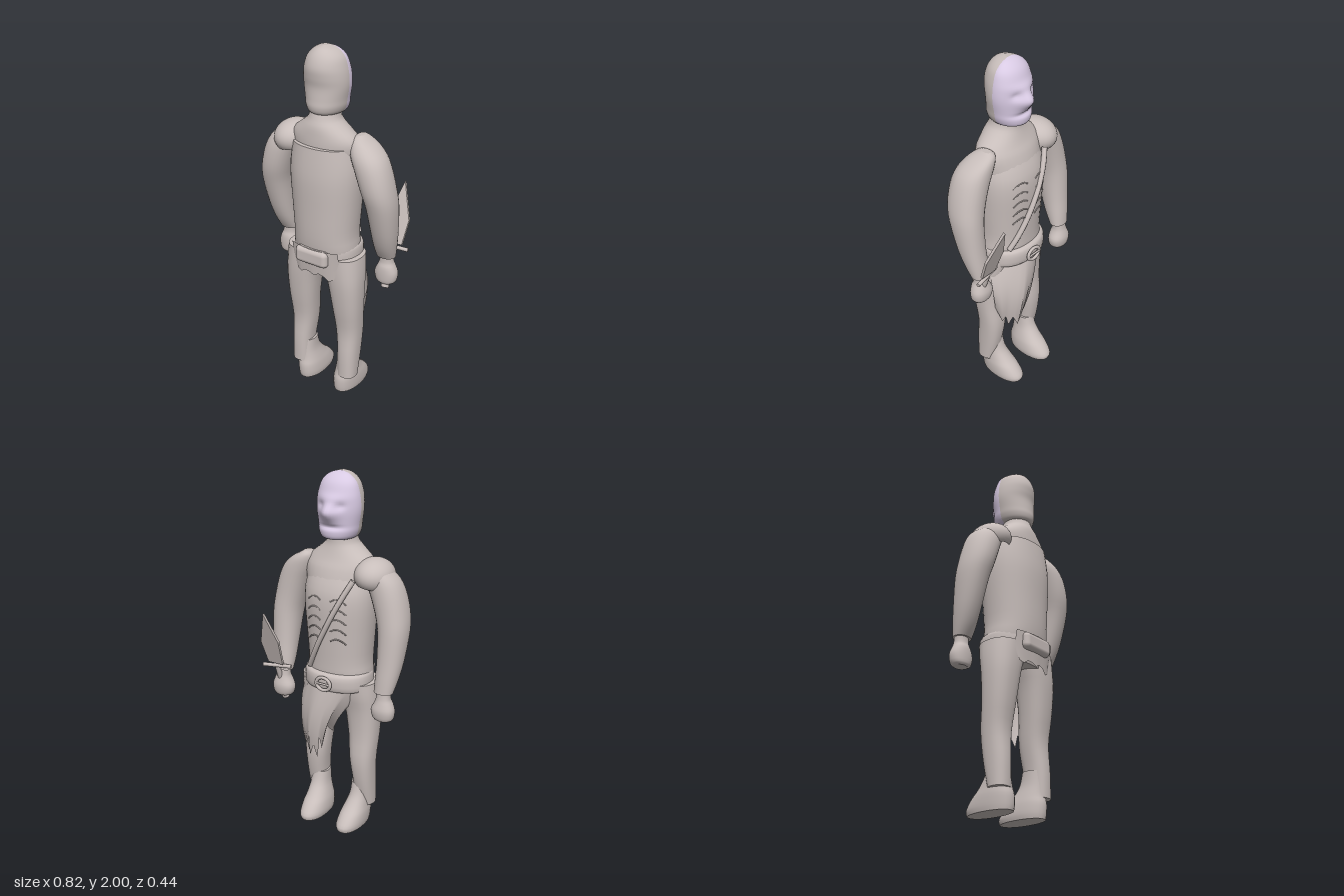
import * as THREE from 'three';
import { RoundedBoxGeometry } from 'three/addons/geometries/RoundedBoxGeometry.js';

const grey = new THREE.MeshStandardMaterial({ color: 0xc8bebb, side: THREE.DoubleSide });
grey.name = 'warm grey';
const lilac = new THREE.MeshStandardMaterial({ color: 0xd8cae3 });
lilac.name = 'pale lilac';

// Smooth in-between sections
function refine(rows, n) {
  const out = [];
  const at = (i) => rows[Math.max(0, Math.min(rows.length - 1, i))];
  for (let i = 0; i < rows.length - 1; i++) {
    for (let k = 0; k < n; k++) {
      const t = k / n;
      out.push(at(i).map((b, q) => {
        const a = at(i - 1)[q], c = at(i + 1)[q], d = at(i + 2)[q];
        return b + 0.5 * t * (c - a + t * (2 * a - 5 * b + 4 * c - d + t * (3 * (b - c) + d - a)));
      }));
    }
  }
  out.push(rows[rows.length - 1]);
  return out;
}

// Loft of rounded sections, bottom to top: [y, xMin, xMax, zMin, zMax]
function loft(rows, { n = 3, side = 1, power = 2.2, seg = 28, zMid = null, shape = null, split = false } = {}) {
  const rings = refine(rows, n), pos = [], front = [], back = [];
  const soft = (v) => Math.sign(v) * Math.pow(Math.abs(v), 2 / power);
  for (const [y, x0, x1, z0, z1] of rings) {
    const cz = zMid ?? (z0 + z1) / 2;
    for (let j = 0; j < seg; j++) {
      const a = (j / seg) * Math.PI * 2, s = soft(Math.sin(a));
      const p = new THREE.Vector3(side * (x0 + x1) / 2 + (x1 - x0) / 2 * soft(Math.cos(a)), y,
        cz + s * (s > 0 ? z1 - cz : cz - z0));
      if (shape) shape(p);
      pos.push(p.x, p.y, p.z);
    }
  }
  for (let i = 0; i < rings.length - 1; i++) {
    for (let j = 0; j < seg; j++) {
      const a = i * seg + j, b = i * seg + (j + 1) % seg;
      (split && j >= seg / 2 ? front : back).push(a, a + seg, b, b, a + seg, b + seg);
    }
  }
  // flat end caps
  for (const [i, up] of [[0, false], [rings.length - 1, true]]) {
    const [y, x0, x1, z0, z1] = rings[i], base = pos.length / 3;
    const ring = pos.slice(i * seg * 3, (i + 1) * seg * 3);
    pos.push(...ring, side * (x0 + x1) / 2, y, zMid ?? (z0 + z1) / 2);
    for (let j = 0; j < seg; j++) {
      const a = base + j, b = base + (j + 1) % seg;
      const list = split && j >= seg / 2 ? front : back;
      if (up) list.push(a, base + seg, b); else list.push(a, b, base + seg);
    }
  }
  const g = new THREE.BufferGeometry();
  g.setAttribute('position', new THREE.Float32BufferAttribute(pos, 3));
  g.setIndex([...back, ...front]);
  if (split) {
    g.addGroup(0, back.length, 0);
    g.addGroup(back.length, front.length, 1);
  }
  g.computeVertexNormals();
  return g;
}

// Sheet of cloth; fn(u, v) gives the point, v running downward
function cloth(fn, cols, rows) {
  const g = new THREE.PlaneGeometry(1, 1, cols, rows), p = g.attributes.position;
  for (let i = 0; i < p.count; i++) p.setXYZ(i, ...fn(p.getX(i) + 0.5, 0.5 - p.getY(i)));
  g.computeVertexNormals();
  return g;
}

// Depth of the chest surface
function chestZ(x, y) {
  const zf = -0.116 + 0.25 * (y - 1.27) ** 2;
  return 0.04 - (0.04 - zf) * Math.pow(1 - Math.min(1, Math.abs(x / 0.2)) ** 2.2, 1 / 2.2);
}

export function createModel() {
  const model = new THREE.Group();
  const add = (name, geometry, material = grey, parent = model) => {
    const m = new THREE.Mesh(geometry, material);
    m.name = name;
    parent.add(m);
    return m;
  };

  // Head with pale face: broad pointed nose, eye sockets, brow and mouth pushed in and out
  const bump = (p, x, y, w, h) => Math.exp(-(((p.x - x) / w) ** 2) - ((p.y - y) / h) ** 2);
  add('head', loft([
    [1.655, -0.055, 0.055, -0.03, 0.11], [1.668, -0.09, 0.09, -0.066, 0.148], [1.7, -0.107, 0.107, -0.075, 0.16],
    [1.74, -0.114, 0.114, -0.068, 0.157], [1.8, -0.124, 0.124, -0.068, 0.153], [1.85, -0.124, 0.124, -0.066, 0.16],
    [1.9, -0.116, 0.116, -0.056, 0.162], [1.95, -0.098, 0.098, -0.035, 0.145], [1.985, -0.06, 0.06, 0.0, 0.115],
    [2.0, -0.015, 0.015, 0.035, 0.075],
  ], {
    n: 5, seg: 56, zMid: 0.035, power: 2.05, split: true, shape: (p) => {
      if (p.z > 0.01) return;
      p.z += -0.046 * bump(p, 0, 1.805, 0.05, 0.045) - 0.008 * bump(p, 0, 1.875, 0.08, 0.02)
        + 0.014 * bump(p, 0.052, 1.835, 0.025, 0.018) + 0.014 * bump(p, -0.052, 1.835, 0.025, 0.018)
        + 0.014 * bump(p, 0, 1.728, 0.06, 0.01);
    },
  }), [grey, lilac]);

  // Neck and collar, torso
  add('neckAndCollar', loft([
    [1.42, -0.19, 0.19, -0.095, 0.17], [1.5, -0.2, 0.205, -0.073, 0.172], [1.55, -0.185, 0.185, -0.05, 0.17],
    [1.6, -0.125, 0.125, -0.032, 0.165], [1.64, -0.085, 0.085, -0.022, 0.15], [1.7, -0.075, 0.075, -0.02, 0.13],
  ], { power: 2 }));
  add('torso', loft([
    [0.78, -0.15, 0.15, -0.06, 0.16], [0.9, -0.185, 0.185, -0.095, 0.188], [1.0, -0.18, 0.18, -0.1, 0.2],
    [1.15, -0.19, 0.19, -0.108, 0.205], [1.3, -0.2, 0.2, -0.116, 0.21], [1.4, -0.196, 0.196, -0.106, 0.205],
    [1.5, -0.175, 0.175, -0.067, 0.195],
  ], { seg: 36 }));

  // Paired limbs
  for (const side of [1, -1]) {
    const who = side > 0 ? 'left' : 'right';
    add(who + 'Arm', loft([
      [0.88, 0.265, 0.37, -0.085, 0.0], [0.95, 0.262, 0.385, -0.08, 0.04], [1.05, 0.26, 0.4, -0.07, 0.08],
      [1.2, 0.25, 0.41, -0.06, 0.125], [1.3, 0.225, 0.4, -0.053, 0.148], [1.4, 0.19, 0.375, -0.05, 0.15],
      [1.47, 0.16, 0.342, -0.048, 0.138], [1.52, 0.15, 0.288, -0.043, 0.11], [1.55, 0.155, 0.235, -0.03, 0.08],
      [1.565, 0.175, 0.21, -0.01, 0.05],
    ], { side }));
    add(who + 'Hand', loft([
      [0.72, 0.285, 0.36, -0.075, -0.01], [0.735, 0.262, 0.378, -0.09, 0.0], [0.78, 0.252, 0.385, -0.097, 0.003],
      [0.82, 0.27, 0.372, -0.088, 0.0], [0.85, 0.28, 0.36, -0.08, -0.01], [0.9, 0.28, 0.36, -0.075, -0.01],
    ], { side }));
    add(who + 'TrouserLeg', loft([
      [0.11, 0.1, 0.208, 0.02, 0.13], [0.25, 0.096, 0.212, -0.012, 0.13], [0.4, 0.078, 0.218, -0.03, 0.122],
      [0.55, 0.062, 0.228, -0.022, 0.143], [0.7, 0.04, 0.233, -0.03, 0.16], [0.8, 0.012, 0.23, -0.05, 0.165],
      [0.88, 0.003, 0.222, -0.06, 0.165],
    ], { side, power: 2.4 }));
    add(who + 'Boot', loft([
      [0, 0.055, 0.19, -0.15, 0.125], [0.03, 0.05, 0.195, -0.155, 0.13], [0.08, 0.055, 0.195, -0.115, 0.13],
      [0.12, 0.065, 0.19, -0.07, 0.12], [0.18, 0.08, 0.185, -0.025, 0.115], [0.25, 0.083, 0.185, -0.005, 0.11],
    ], { side }));
    // Rib ridges
    for (let i = 0; i < 5; i++) {
      const pts = [0.03, 0.06, 0.09, 0.115].map((x, k) => {
        const y = 1.13 + i * 0.055 - [0.0, -0.014, -0.008, 0.012][k];
        return new THREE.Vector3(side * x, y, chestZ(x, y));
      });
      add(who + 'Rib', new THREE.TubeGeometry(new THREE.CatmullRomCurve3(pts), 12, 0.0035, 6));
    }
  }

  // Single shoulder guard and the strap across the chest
  const guard = add('shoulderGuard', new THREE.SphereGeometry(1, 28, 18, 0, Math.PI * 2, 0, Math.PI * 0.68));
  guard.scale.set(0.105, 0.092, 0.126);
  guard.position.set(-0.205, 1.482, 0.045);
  guard.rotation.z = 0.15;
  const strapPath = [];
  for (let i = 0; i <= 8; i++) {
    const x = -0.145 + 0.27 * i / 8, y = 1.47 - 0.52 * i / 8;
    strapPath.push(new THREE.Vector3(x, y, chestZ(x, y) - 0.006));
  }
  add('chestStrap', new THREE.TubeGeometry(new THREE.CatmullRomCurve3(strapPath), 32, 0.015, 8));

  // Belt, buckle and rear pouch
  add('belt', loft([
    [0.835, -0.18, 0.18, -0.1, 0.175], [0.85, -0.193, 0.193, -0.122, 0.187], [0.92, -0.192, 0.192, -0.124, 0.19],
    [0.94, -0.18, 0.18, -0.1, 0.18],
  ], { seg: 36 }));
  const buckle = add('buckle', new THREE.TorusGeometry(0.036, 0.009, 8, 24));
  buckle.position.set(0, 0.887, -0.136);
  buckle.scale.x = 1.2;
  const pin = add('bucklePin', new THREE.CylinderGeometry(0.006, 0.006, 0.08, 8));
  pin.position.set(0, 0.887, -0.14);
  pin.rotation.z = Math.PI / 2;
  add('rearPouch', new RoundedBoxGeometry(0.2, 0.095, 0.055, 4, 0.027)).position.set(-0.002, 0.882, 0.19);

  // Ragged loincloth in front, wrapping the left thigh, and a short ragged flap behind
  const frontHem = [0.62, 0.56, 0.6, 0.47, 0.53, 0.4, 0.48, 0.42, 0.47, 0.41, 0.48, 0.45, 0.54];
  add('loincloth', cloth((u, v) => {
    const e = (2 * u - 1) ** 2, x0 = -0.2 + 0.19 * v ** 0.9, x1 = 0.195 + 0.025 * Math.sin(v * Math.PI) - 0.01 * v;
    const hem = frontHem[Math.round(u * 12)];
    const z = -0.112 - 0.036 * Math.sin(v * Math.PI * 0.85) + e * (0.125 - 0.04 * v) + 0.012 * v * Math.sin(u * 19);
    return [x0 + (x1 - x0) * u, 0.86 + (hem - 0.86) * v, z + 0.025 * v];
  }, 12, 12));
  const rearHem = [0.84, 0.76, 0.745, 0.77, 0.78, 0.765, 0.775, 0.78, 0.76, 0.77, 0.84];
  add('rearFlap', cloth((u, v) => {
    const x = 0.15 - 0.29 * u;
    return [x, 0.93 + (rearHem[Math.round(u * 10)] - 0.93) * v, 0.204 - 1.3 * x * x - 0.018 * v];
  }, 10, 4));

  // Short blade held in the left hand
  const knife = new THREE.Group();
  knife.name = 'knife';
  knife.position.set(0.325, 0.91, -0.1);
  knife.rotation.x = -0.34;
  model.add(knife);
  const outline = new THREE.Shape([[-0.045, 0.02], [0.05, 0.02], [0.063, 0.16], [-0.005, 0.36], [-0.056, 0.18]]
    .map(([x, y]) => new THREE.Vector2(x, y)));
  add('blade', new THREE.ExtrudeGeometry(outline, { depth: 0.014, bevelEnabled: false }), grey, knife)
    .position.z = -0.007;
  const cross = add('crossGuard', new THREE.CylinderGeometry(0.011, 0.011, 0.17, 10), grey, knife);
  cross.rotation.set(0, 0.18, Math.PI / 2, 'YXZ');
  add('grip', new THREE.CylinderGeometry(0.015, 0.015, 0.22, 12), grey, knife).position.y = -0.11;
  add('pommel', new THREE.CylinderGeometry(0.022, 0.022, 0.025, 12), grey, knife).position.y = -0.215;

  return model;
}
